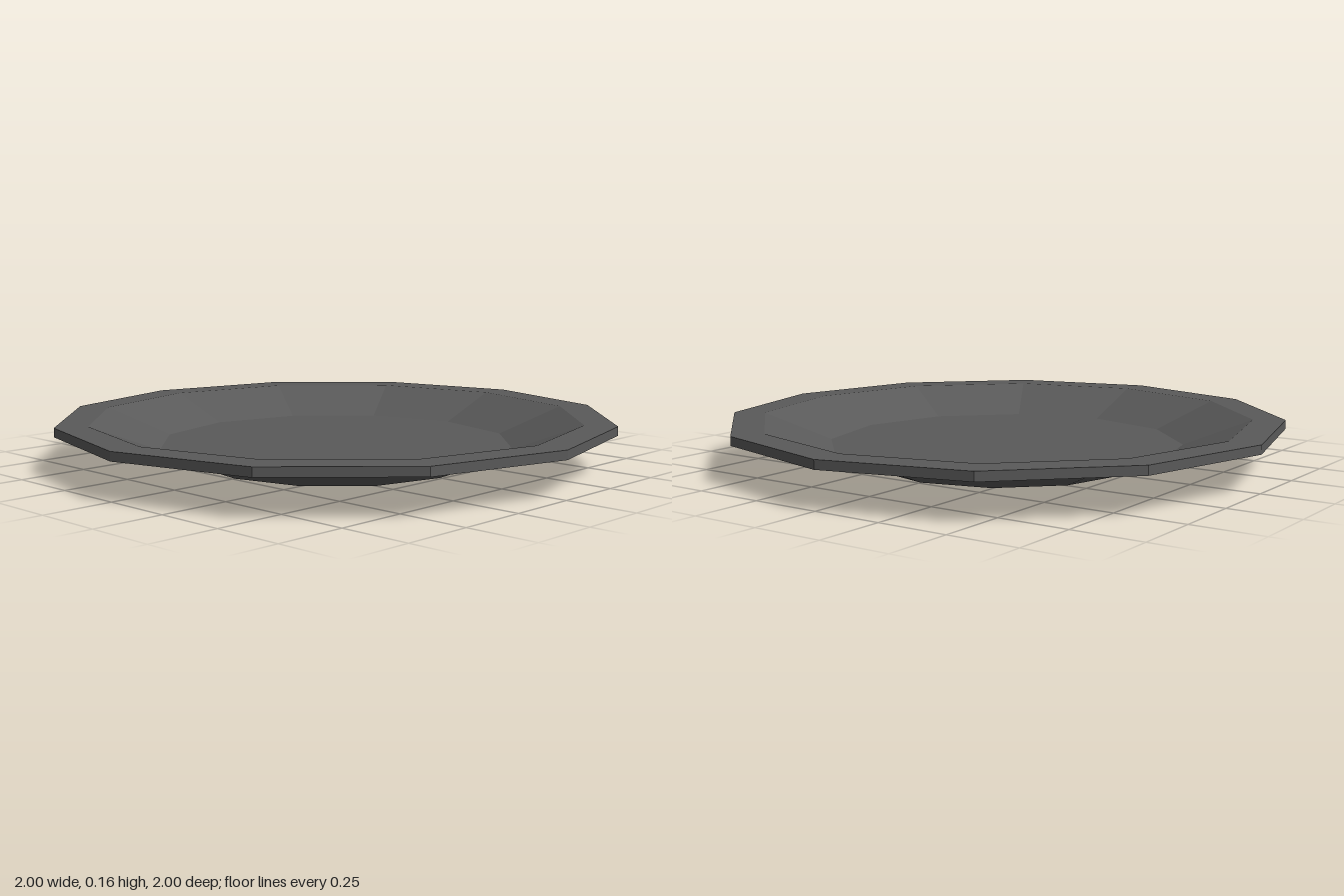
import * as THREE from 'three';

export function createModel() {
  const group = new THREE.Group();
  group.name = 'plate';

  const grey = new THREE.MeshStandardMaterial({ color: 0x5a5a5a, flatShading: true });
  grey.name = 'dark grey';

  // Twelve-sided ring swept from a short profile of [radius, height] points
  const addRing = (name, profile) => {
    const points = profile.map(([r, y]) => new THREE.Vector2(r, y));
    const mesh = new THREE.Mesh(new THREE.LatheGeometry(points, 12), grey);
    mesh.name = name;
    group.add(mesh);
  };

  // Flat foot and sloping outer wall
  addRing('underside', [[0, 0], [0.49, 0], [0.82, 0.128]]);
  // Flat rim with its thin outer edge
  addRing('rim', [[0.82, 0.128], [1, 0.128], [1, 0.16], [0.885, 0.16]]);
  // Sloping inner wall and flat floor
  addRing('bowl', [[0.885, 0.16], [0.64, 0.066], [0, 0.066]]);

  return group;
}
